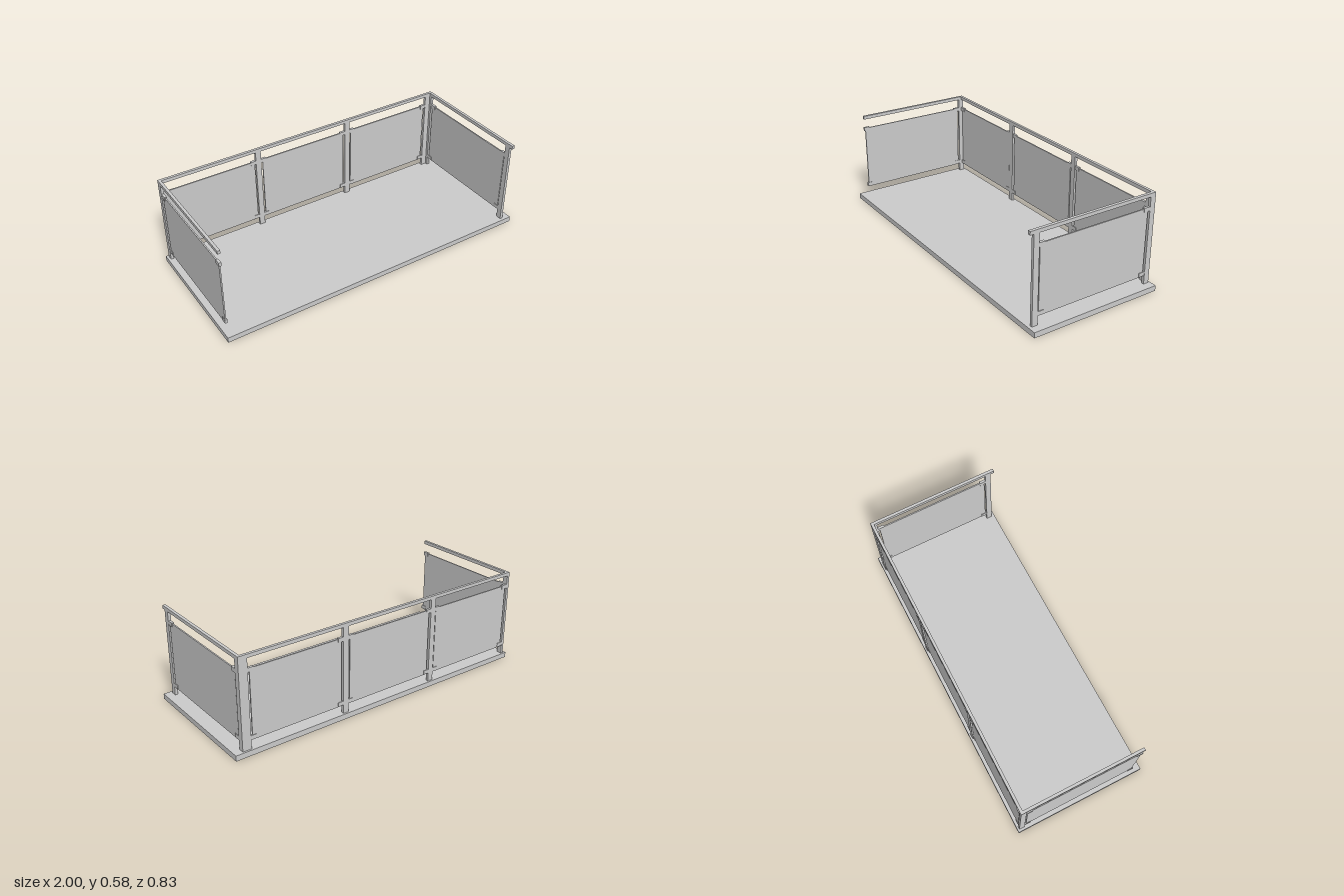
import * as THREE from 'three';

const material = new THREE.MeshStandardMaterial({ color: 0xcccccc });

// Axis-aligned box from its minimum and maximum on each axis
function addBox(parent, name, [x0, x1], [y0, y1], [z0, z1]) {
  const mesh = new THREE.Mesh(new THREE.BoxGeometry(x1 - x0, y1 - y0, z1 - z0), material);
  mesh.position.set((x0 + x1) / 2, (y0 + y1) / 2, (z0 + z1) / 2);
  mesh.name = name;
  parent.add(mesh);
}

// Heights
const FLOOR = [0, 0.033];
const POST = [0.033, 0.562];
const RAIL = [0.562, 0.583];
const PANEL = [0.083, 0.499];
const CLIPS = [[0.087, 0.111], [0.481, 0.505]];

// Thickness of each railing run
const BACK = [-0.403, -0.386];
const LEFT = [0.934, 0.952];
const RIGHT = [-0.985, -0.968];

const thin = ([a, b]) => [(a + b) / 2 - 0.004, (a + b) / 2 + 0.004];
const slim = ([a, b]) => [a + 0.001, b - 0.001];

// One railing run; spans are measured along x for the back, along z for the sides
function addRun(parent, name, depth, alongX, { rail, posts, panels, clips }) {
  const run = new THREE.Group();
  run.name = name;
  const put = (part, span, y, d) =>
    alongX ? addBox(run, part, span, y, d) : addBox(run, part, d, y, span);
  put('handrail', rail, RAIL, depth);
  posts.forEach((p) => put('post', p, POST, depth));
  panels.forEach((p) => put('panel', p, PANEL, thin(depth)));
  for (const span of clips) for (const y of CLIPS) put('panelClip', span, y, slim(depth));
  parent.add(run);
}

export function createModel() {
  const group = new THREE.Group();
  group.name = 'balcony';

  addBox(group, 'floorSlab', [-1, 1], FLOOR, [-0.414, 0.411]);

  // Back run: three panels between the corner and three posts
  addRun(group, 'backRailing', BACK, true, {
    rail: [RIGHT[1], LEFT[0]],
    posts: [[-0.372, -0.337], [0.263, 0.298], [0.898, 0.934]],
    panels: [[-0.958, -0.379], [-0.325, 0.252], [0.308, 0.886]],
    clips: [
      [-0.968, -0.93], [-0.405, -0.372], [-0.337, -0.304],
      [0.228, 0.263], [0.298, 0.332], [0.861, 0.898],
    ],
  });

  // Side runs: one panel each; the one at -x has no front post
  const sidePanel = [[-0.359, 0.349]];
  const sideClips = [[-0.369, -0.33], [0.32, 0.357]];
  addRun(group, 'leftRailing', LEFT, false, {
    rail: [-0.403, 0.415],
    posts: [[-0.403, -0.369], [0.357, 0.392]],
    panels: sidePanel,
    clips: sideClips,
  });
  addRun(group, 'rightRailing', RIGHT, false, {
    rail: [-0.403, 0.357],
    posts: [[-0.403, -0.369]],
    panels: sidePanel,
    clips: sideClips,
  });

  return group;
}
